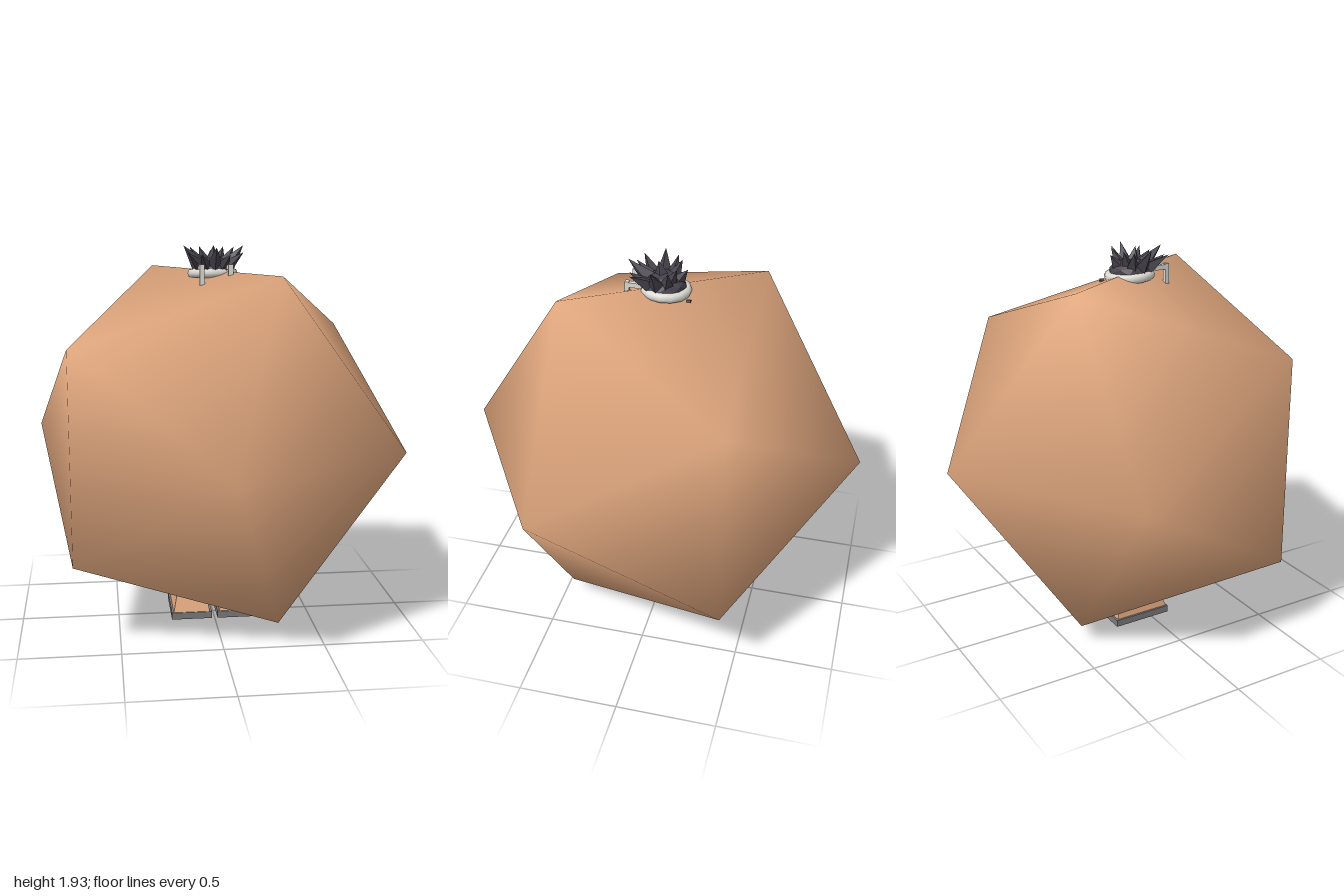
import * as THREE from 'three';

const mat = (name, color) => {
  const m = new THREE.MeshStandardMaterial({ color });
  m.name = name;
  return m;
};

// Faceted copy of a geometry
const facet = (g) => {
  const f = g.index ? g.toNonIndexed() : g;
  f.computeVertexNormals();
  return f;
};

// Twenty-sided ball with its poles on z and smooth shared normals
function ballGeometry() {
  const pts = [[0, 0, 1]], faces = [];
  const h = 1 / Math.sqrt(5), r = 2 * h;
  for (const [z, offset] of [[h, 0], [-h, Math.PI / 5]]) {
    for (let k = 0; k < 5; k++) {
      const a = offset + k * Math.PI * 0.4;
      pts.push([r * Math.cos(a), r * Math.sin(a), z]);
    }
  }
  pts.push([0, 0, -1]);
  for (let k = 0; k < 5; k++) {
    const n = (k + 1) % 5;
    const a = 1 + k, a2 = 1 + n, b = 6 + k, b2 = 6 + n;
    faces.push(0, a, a2, a, b, a2, b, b2, a2, 11, b2, b);
  }
  const g = new THREE.BufferGeometry();
  g.setAttribute('position', new THREE.Float32BufferAttribute(pts.flat(), 3));
  g.setIndex(faces);
  g.computeVertexNormals();
  return g;
}

// Box whose top is drawn in to the given z range and half width
function taperedBox(w, h, z0, z1, topW, topZ0, topZ1) {
  const g = new THREE.BoxGeometry(1, 1, 1);
  const p = g.attributes.position;
  for (let i = 0; i < p.count; i++) {
    const top = p.getY(i) > 0, front = p.getZ(i) > 0;
    p.setXYZ(i, p.getX(i) * (top ? topW : w), top ? h : 0,
      front ? (top ? topZ1 : z1) : (top ? topZ0 : z0));
  }
  return facet(g);
}

export function createModel() {
  const model = new THREE.Group();
  const skin = mat('tan', 0xdfa67d);
  const hairMat = mat('charcoal hair', 0x47434d);
  const white = mat('off white', 0xdcdbd4);
  const grey = mat('sole grey', 0x7c7a7a);

  const add = (name, geometry, material, parent, x = 0, y = 0, z = 0) => {
    const m = new THREE.Mesh(geometry, material);
    m.name = name;
    m.position.set(x, y, z);
    parent.add(m);
    return m;
  };

  add('body', ballGeometry(), skin, model, 0, 0.955, 0);

  // Feet with flat soles, toes towards -z
  for (const s of [-1, 1]) {
    const foot = new THREE.Group();
    foot.name = s > 0 ? 'leftFoot' : 'rightFoot';
    foot.position.x = s * 0.12;
    model.add(foot);
    add('sole', new THREE.BoxGeometry(0.21, 0.036, 0.31), grey, foot, 0, 0.018, -0.055);
    add('shoe', taperedBox(0.19, 0.112, -0.2, 0.095, 0.14, -0.17, 0.05), skin, foot, 0, 0.036, 0);
    add('cuff', facet(new THREE.CylinderGeometry(0.095, 0.06, 0.09, 8)), skin, foot, 0, 0.13, 0.005);
    add('shoeTop', facet(new THREE.CylinderGeometry(0.05, 0.075, 0.04, 6)), skin, foot, 0, 0.158, -0.04);
    add('buckle', new THREE.BoxGeometry(0.02, 0.022, 0.015), grey, foot, 0, 0.165, -0.102);
  }

  // Head top with spiky hair
  const head = new THREE.Group();
  head.name = 'head';
  model.add(head);
  const cap = add('hairCap', facet(new THREE.IcosahedronGeometry(0.1, 1)), hairMat, head, 0, 1.81, 0.005);
  cap.scale.set(1.05, 0.65, 1.1);

  const up = new THREE.Vector3(0, 1, 0);
  const spike = (base, tip, r) => {
    const a = new THREE.Vector3(...base), d = new THREE.Vector3(...tip).sub(a);
    const len = d.length();
    const g = facet(new THREE.ConeGeometry(r, len, 4));
    g.translate(0, len / 2, 0);
    const m = add('hairSpike', g, hairMat, head, ...base);
    m.quaternion.setFromUnitVectors(up, d.normalize());
  };
  spike([0, 1.82, 0.06], [0, 1.925, 0.178], 0.05);
  spike([0, 1.83, 0.01], [0, 1.93, 0.03], 0.05);
  spike([0, 1.82, -0.05], [0, 1.9, -0.11], 0.045);
  for (const s of [-1, 1]) {
    spike([s * 0.05, 1.82, 0.06], [s * 0.135, 1.9, 0.135], 0.042);
    spike([s * 0.06, 1.82, 0.02], [s * 0.148, 1.93, 0.032], 0.045);
    spike([s * 0.05, 1.82, -0.02], [s * 0.11, 1.92, -0.04], 0.042);
    spike([s * 0.03, 1.83, -0.03], [s * 0.06, 1.92, -0.07], 0.04);
    spike([s * 0.03, 1.82, 0.06], [s * 0.07, 1.89, 0.155], 0.04);
  }

  // Headband with two tails hanging on the +z side
  const band = add('headband', new THREE.TorusGeometry(0.102, 0.024, 8, 14), white, head, 0, 1.793, -0.003);
  band.rotation.x = Math.PI / 2 - 0.06;
  for (const s of [-1, 1]) {
    add('tailTop', new THREE.BoxGeometry(0.024, 0.024, 0.08), white, head, s * 0.07, 1.829, 0.132);
    add('tailDrop', new THREE.BoxGeometry(0.024, 0.1, 0.02), white, head, s * 0.07, 1.795, 0.164);
  }

  // Loose strand at the brow
  const strand = add('strand', new THREE.BoxGeometry(0.02, 0.012, 0.018), hairMat, head, 0.053, 1.767, -0.128);
  strand.rotation.z = 0.4;

  return model;
}
